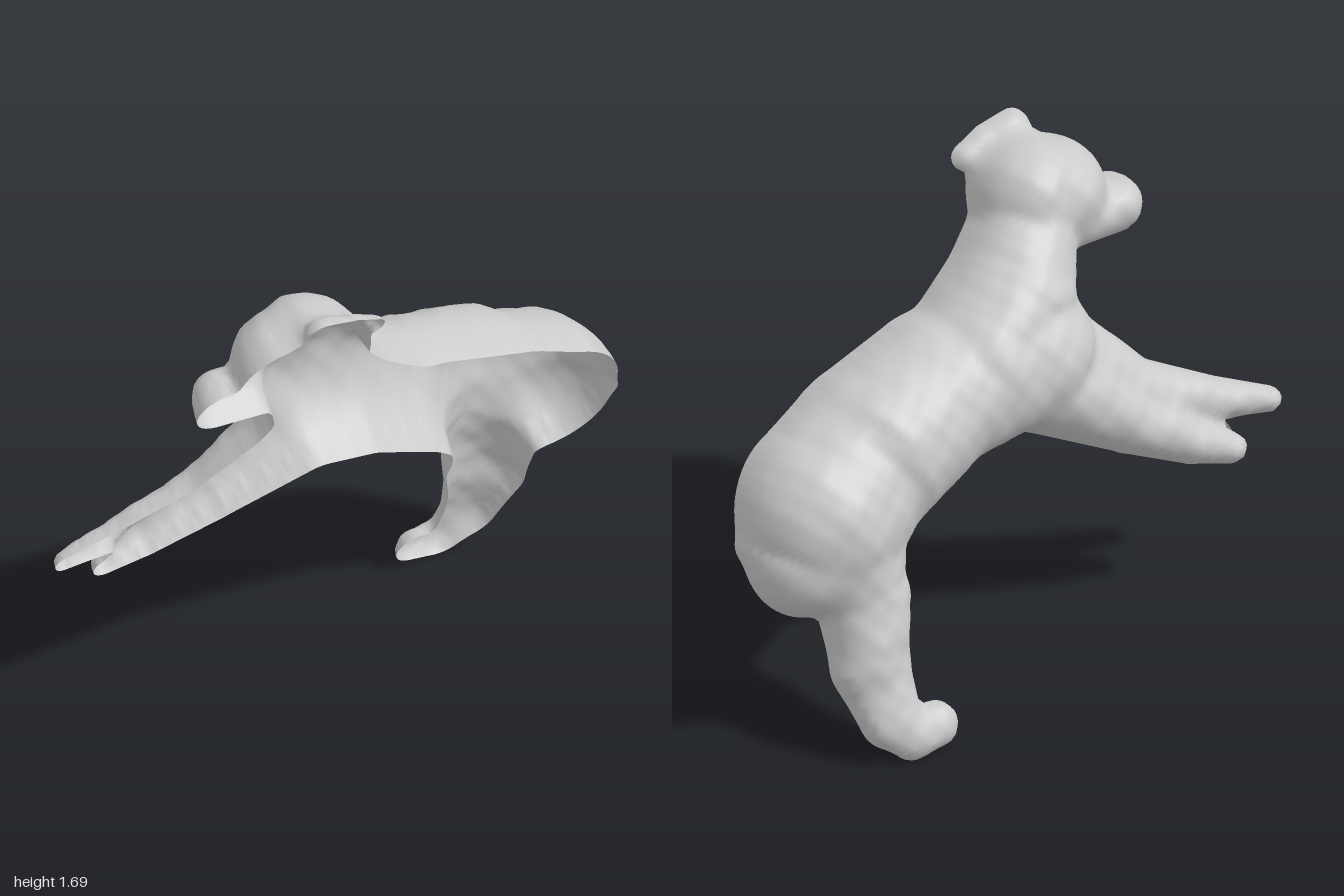
import * as THREE from 'three';

// The model is the half shell of a resting dog, open towards the front and
// leaning on a tilted plane. Each part is a chain of [x, y on the rim plane, radius];
// "depth" stretches how far the part bulges out behind the plane.
const PARTS = [
  { name: 'torso', depth: 1.2, chain: [[-0.12, 1.035, 0.25], [0.2, 0.995, 0.255], [0.45, 0.9, 0.275]] },
  { name: 'rump', depth: 1.06, chain: [[0.5, 0.88, 0.275], [0.67, 0.775, 0.295], [0.76, 0.67, 0.21]] },
  { name: 'tailStub', depth: 1.3, chain: [[0.88, 0.82, 0.06], [0.93, 0.73, 0.058]] },
  { name: 'neck', depth: 1.33, chain: [[-0.25, 1.38, 0.17], [-0.12, 1.18, 0.225], [0.04, 1.04, 0.25]] },
  { name: 'head', depth: 1.28, chain: [[-0.36, 1.435, 0.18], [-0.28, 1.455, 0.195]] },
  { name: 'muzzle', depth: 1.4, chain: [[-0.38, 1.345, 0.108], [-0.565, 1.345, 0.1]] },
  { name: 'ear', depth: 0.9, chain: [[-0.3, 1.635, 0.06], [-0.2, 1.62, 0.055], [-0.11, 1.595, 0.042]] },
  { name: 'upperForeleg', depth: 1.1, chain: [[-0.25, 0.98, 0.17], [-0.5, 0.82, 0.1], [-0.75, 0.73, 0.07], [-0.95, 0.675, 0.042]] },
  { name: 'lowerForeleg', depth: 1.25, chain: [[-0.15, 0.96, 0.19], [-0.45, 0.745, 0.11], [-0.65, 0.63, 0.075], [-0.78, 0.575, 0.05]] },
  { name: 'hindLeg', depth: 1.12, chain: [[0.65, 0.65, 0.235], [0.605, 0.5, 0.16], [0.63, 0.32, 0.13]] },
  { name: 'hindFoot', depth: 0.8, chain: [[0.63, 0.3, 0.13], [0.6, 0.15, 0.11], [0.54, 0.08, 0.085], [0.45, 0.085, 0.075]] },
];

// Rim plane: C runs up the plane, S is its lean
const C = 0.894, S = 0.447, BLEND = 0.003;

// Squared height of one tapered chain at a point of the plane
function chainField(chain, x, s) {
  let best = -Infinity;
  for (let i = 0; i + 1 < chain.length; i++) {
    const [ax, ay, ar] = chain[i], [bx, by, br] = chain[i + 1];
    const dx = bx - ax, ds = (by - ay) / C, px = x - ax, ps = s - ay / C;
    const t = THREE.MathUtils.clamp((px * dx + ps * ds) / (dx * dx + ds * ds), 0, 1);
    const r = ar + (br - ar) * t;
    best = Math.max(best, r * r - (px - dx * t) ** 2 - (ps - ds * t) ** 2);
  }
  return best;
}

// All parts blended into one skin; also tells the strongest part
function field(x, s) {
  const f = PARTS.map((p) => chainField(p.chain, x, s));
  const top = Math.max(...f);
  let sum = 0, depth = 0;
  f.forEach((v, i) => {
    const w = Math.exp((v - top) / BLEND);
    sum += w;
    depth += w * PARTS[i].depth;
  });
  return { value: top + BLEND * Math.log(sum), depth: depth / sum, part: f.indexOf(top) };
}

// Slide a point just outside the outline onto it
function snapToRim(x, s) {
  const e = 1e-4;
  for (let i = 0; i < 5; i++) {
    const v = field(x, s).value;
    const gx = (field(x + e, s).value - v) / e, gs = (field(x, s + e).value - v) / e;
    const k = v / Math.max(gx * gx + gs * gs, 1e-4);
    x -= THREE.MathUtils.clamp(k * gx, -0.02, 0.02);
    s -= THREE.MathUtils.clamp(k * gs, -0.02, 0.02);
  }
  return [x, s];
}

// Slight unevenness of the coat
const fur = (x, s) => 0.004 * (Math.sin(31 * x + 9 * s) * Math.sin(27 * s - 8 * x) + 0.6 * Math.sin(67 * x) * Math.sin(59 * s));

export function createModel() {
  const step = 0.018, nx = 116, ns = 114, x0 = -1.04, s0 = -0.06;
  const samples = [];
  for (let j = 0; j <= ns; j++) {
    for (let i = 0; i <= nx; i++) samples.push(field(x0 + i * step, s0 + j * step));
  }

  // Vertices are made only where a face needs them
  const positions = [], ids = new Map();
  const vertex = (k) => {
    if (!ids.has(k)) {
      let x = x0 + (k % (nx + 1)) * step, s = s0 + Math.floor(k / (nx + 1)) * step, h = 0;
      const { value, depth } = samples[k];
      if (value > 0) {
        h = Math.max(0, depth * Math.sqrt(value) + fur(x, s));
      } else {
        [x, s] = snapToRim(x, s);
      }
      ids.set(k, positions.length / 3);
      positions.push(x, C * s + S * h, S * s - C * h);
    }
    return ids.get(k);
  };

  // Faces are sorted into the part they belong to
  const faces = PARTS.map(() => []);
  for (let j = 0; j < ns; j++) {
    for (let i = 0; i < nx; i++) {
      const a = j * (nx + 1) + i, b = a + 1, c = a + nx + 1, d = c + 1;
      const split = (i + j) % 2 ? [[a, c, b], [b, c, d]] : [[a, c, d], [a, d, b]];
      for (const tri of split) {
        const inside = tri.find((k) => samples[k].value > 0);
        if (inside !== undefined) faces[samples[inside].part].push(...tri.map(vertex));
      }
    }
  }

  // Normals come from the whole skin, so the parts join without seams
  const skin = new THREE.BufferGeometry();
  skin.setAttribute('position', new THREE.Float32BufferAttribute(positions, 3));
  skin.setIndex(faces.flat());
  skin.computeVertexNormals();
  skin.computeBoundingBox();
  const box = skin.boundingBox, mid = box.getCenter(new THREE.Vector3());
  skin.translate(-mid.x, -box.min.y, -mid.z);

  const material = new THREE.MeshStandardMaterial({ color: 0xcccccc, side: THREE.DoubleSide });
  const group = new THREE.Group();
  group.name = 'restingDog';
  PARTS.forEach((part, i) => {
    const piece = skin.clone();
    piece.setIndex(faces[i]);
    const mesh = new THREE.Mesh(piece.toNonIndexed(), material);
    mesh.name = part.name;
    group.add(mesh);
  });
  return group;
}
